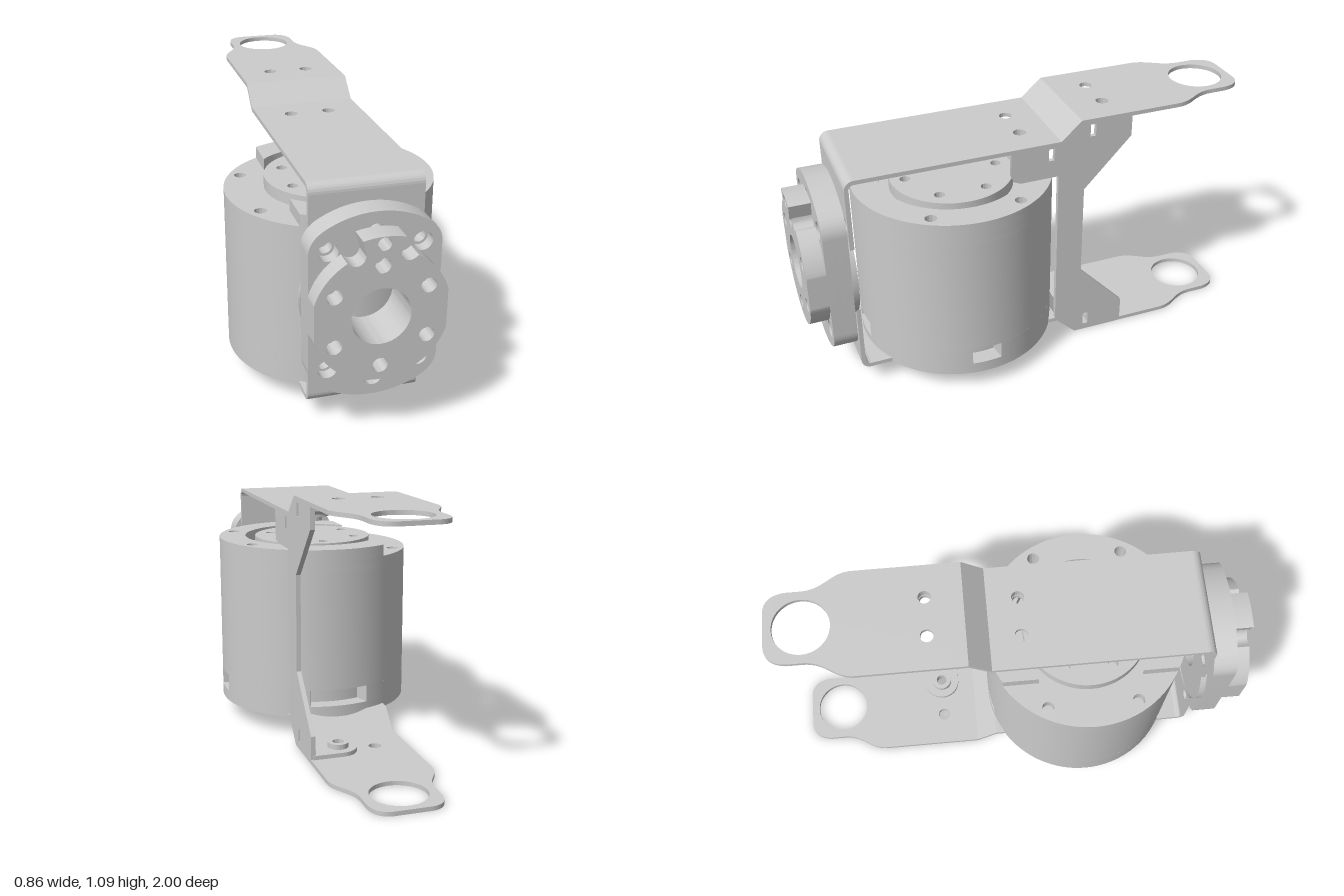
import * as THREE from 'three';
import { toCreasedNormals } from 'three/addons/utils/BufferGeometryUtils.js';

const material = new THREE.MeshStandardMaterial({ color: 0xcccccc, side: THREE.DoubleSide });

function hole(shape, x, y, r) {
  shape.holes.push(new THREE.Path().absarc(x, y, r, 0, Math.PI * 2, true));
}
function circle(r, holes = []) {
  const s = new THREE.Shape().absarc(0, 0, r, 0, Math.PI * 2);
  holes.forEach(h => hole(s, ...h));
  return s;
}
function polygon(pts) {
  return new THREE.Shape(pts.map(p => new THREE.Vector2(...p)));
}
// Ring sector; the outer and inner arcs may span different angles
function sector(r0, r1, a0, a1, b0 = a0, b1 = a1) {
  const s = new THREE.Shape();
  s.absarc(0, 0, r1, a0, a1, false);
  s.absarc(0, 0, r0, b1, b0, true);
  s.closePath();
  return s;
}
function extrude(shape, depth) {
  return new THREE.ExtrudeGeometry(shape, { depth, bevelEnabled: false, curveSegments: 40 });
}
function add(group, name, geometry) {
  const m = new THREE.Mesh(toCreasedNormals(geometry, 0.5), material);
  m.name = name;
  group.add(m);
  return m;
}
// Horizontal slab: shape is (x, -z), from y0 to y1
function slab(group, name, shape, y0, y1) {
  return add(group, name, extrude(shape, y1 - y0).rotateX(-Math.PI / 2).translate(0, y0, 0));
}
// Side profile: shape is (-z, y), from x0 to x1
function side(group, name, shape, x0, x1) {
  return add(group, name, extrude(shape, x1 - x0).rotateY(Math.PI / 2).translate(x0, 0, 0));
}
// Facing slab: shape is (x, y), from z0 to z1
function facing(group, name, shape, z0, z1) {
  return add(group, name, extrude(shape, z1 - z0).translate(0, 0, z0));
}

const W = 0.225, T = 0.018, PI = Math.PI;

function buildMotor() {
  const g = new THREE.Group();
  g.name = 'motor';
  g.position.z = 0.3;
  const R = 0.43;
  const rimHoles = [[0.33, 0.19, 0.025], [0.33, -0.19, 0.025], [-0.33, 0.19, 0.025], [-0.33, -0.19, 0.025]];
  const baseHoles = [0, 1, 2, 3].map(i => {
    const a = PI / 4 + 0.08 + i * PI / 2;
    return [0.285 * Math.cos(a), 0.285 * Math.sin(a), 0.024];
  });
  slab(g, 'motorBase', circle(R, baseHoles), 0.085, 0.135);
  // Wall layer broken by three cable ports
  slab(g, 'motorCore', circle(0.36), 0.135, 0.21);
  [[0.15, PI / 2 - 0.31], [PI / 2 + 0.31, 1.5 * PI - 0.2], [1.5 * PI + 0.2, 2 * PI - 0.15]]
    .forEach(([a, b]) => slab(g, 'portWall', sector(0.34, R, a, b), 0.135, 0.21));
  slab(g, 'motorBody', circle(R), 0.21, 0.74);
  slab(g, 'motorTop', circle(R, rimHoles), 0.74, 0.79);
  // Raised rim around the +x side
  const a = Math.acos(-0.22 / R), b = Math.acos(-0.22 / 0.31);
  const rim = sector(0.31, R, -a, a, -b, b);
  rimHoles.slice(0, 2).forEach(h => hole(rim, ...h));
  slab(g, 'raisedRim', rim, 0.79, 0.84);
  const discHoles = [0, 1, 2, 3, 4, 5].map(i => [0.2 * Math.cos(i * PI / 3 + 0.5), 0.2 * Math.sin(i * PI / 3 + 0.5), 0.022]);
  slab(g, 'rotorDisc', circle(0.265, discHoles), 0.79, 0.84);
  return g;
}

// Arm outline with a narrowed, rounded eye at its end
function armShape() {
  const s = new THREE.Shape();
  s.moveTo(-W, 0.2);
  s.lineTo(W, 0.2);
  s.lineTo(W, 0.64);
  s.bezierCurveTo(W, 0.73, 0.153, 0.75, 0.153, 0.85);
  s.lineTo(0.153, 0.91);
  s.quadraticCurveTo(0.145, 1, 0.07, 1);
  s.lineTo(-0.07, 1);
  s.quadraticCurveTo(-0.145, 1, -0.153, 0.91);
  s.lineTo(-0.153, 0.85);
  s.bezierCurveTo(-0.153, 0.75, -W, 0.73, -W, 0.64);
  s.closePath();
  hole(s, 0, 0.85, 0.117);
  [-1, 1].forEach(k => hole(s, k * 0.083, 0.355, 0.027));
  return s;
}

function rect(x0, y0, x1, y1) {
  return polygon([[x0, y0], [x1, y0], [x1, y1], [x0, y1]]);
}

// Folded foot with a threaded boss
function foot(group, s, y, dir) {
  const tab = new THREE.Shape();
  tab.moveTo(0.215, s - 0.08);
  tab.lineTo(0.083, s - 0.08);
  tab.absarc(0.083, s, 0.08, -PI / 2, PI / 2, true);
  tab.lineTo(0.215, s + 0.08);
  tab.closePath();
  hole(tab, 0.083, s, 0.027);
  slab(group, 'footTab', tab, Math.min(y, y + dir * T), Math.max(y, y + dir * T));
  const boss = slab(group, 'footBoss', circle(0.045, [[0, 0, 0.024]]), 0, 0.022);
  boss.position.set(0.083, dir > 0 ? y + T : y - T - 0.022, -s);
}

function buildBracket() {
  const g = new THREE.Group();
  g.name = 'bracket';
  // Top plate, bend and upper arm
  const top = rect(-W, -0.76, W, 0.11);
  [-1, 1].forEach(k => hole(top, k * 0.083, -0.02, 0.027));
  slab(g, 'topPlate', top, 1.01 - T, 1.01);
  side(g, 'topBend', polygon([[0.11, 1.01 - T], [0.2, 1.09 - T], [0.2, 1.09], [0.11, 1.01]]), -W, W);
  slab(g, 'upperArm', armShape(), 1.09 - T, 1.09);
  // Lower flanges, bend and lower arm
  slab(g, 'frontLip', rect(-W, -0.76, W, -0.6), 0.085, 0.085 + T);
  slab(g, 'rearLip', rect(-W, 0.03, W, 0.11), 0.085, 0.085 + T);
  side(g, 'lowerBend', polygon([[0.11, 0.085], [0.2, 0], [0.2, T], [0.11, 0.085 + T]]), -W, W);
  slab(g, 'lowerArm', armShape(), 0, T);
  // Rounded front corners
  [[0.97, PI / 2], [0.125, PI]].forEach(([y, a]) => {
    side(g, 'frontCorner', sector(0.04 - T, 0.04, a, a + PI / 2), -W, W).position.set(0, y, 0.76);
  });
  // Front plates, cut back around the output shaft
  const c = 0.547, r = 0.27, t = Math.acos(W / r);
  [1, -1].forEach(k => {
    const s = new THREE.Shape();
    s.absarc(0, 0, r, k * t, k * (PI - t), k < 0);
    const end = k > 0 ? 0.97 - c : 0.125 - c;
    s.lineTo(-W, end);
    s.lineTo(W, end);
    s.closePath();
    [-0.18, 0, 0.18].forEach(x => hole(s, x, k * (x ? 0.245 : 0.306), 0.028));
    facing(g, 'frontPlate', s, 0.8 - T, 0.8).position.y = c;
  });
  // Side web joining both arms, with relief slots
  const web = polygon([[0.11, 0.09], [0.2, 0.01], [0.43, 0.01], [0.43, 0.12], [0.22, 0.34],
    [0.22, 0.76], [0.43, 0.98], [0.43, 1.08], [0.2, 1.08], [0.11, 1.0], [-0.11, 1.0],
    [-0.11, 0.89], [-0.098, 0.862], [-0.07, 0.85], [0.1, 0.85], [0.1, 0.1]]);
  [[0.24, 0.03, 0.09], [0.24, 1.01, 1.065], [0.055, 0.93, 0.985]].forEach(([s, y0, y1]) => {
    web.holes.push(new THREE.Path(rect(s, y0, s + 0.025, y1).getPoints().reverse()));
  });
  side(g, 'sideWeb', web, W - 0.02, W);
  foot(g, 0.355, T, 1);
  foot(g, 0.355, 1.09 - T, -1);
  foot(g, -0.02, 1.01 - T, -1);
  return g;
}

function buildHorn() {
  const g = new THREE.Group();
  g.name = 'outputHorn';
  g.position.y = 0.547;
  const R = 0.383, H = 0.255, bore = [0, 0, 0.115];
  const a = Math.acos(0.2 / R);
  // Mounting plate: a disc trimmed on both sides, holes counterbored
  const plate = holeRadius => {
    const s = new THREE.Shape();
    s.absarc(0, 0, R, a, PI - a, false);
    s.quadraticCurveTo(-H, 0.29, -H, 0.235);
    s.lineTo(-H, -0.235);
    s.quadraticCurveTo(-H, -0.29, -0.2, -R * Math.sin(a));
    s.absarc(0, 0, R, PI + a, 2 * PI - a, false);
    s.quadraticCurveTo(H, -0.29, H, -0.235);
    s.lineTo(H, 0.235);
    s.quadraticCurveTo(H, 0.29, 0.2, R * Math.sin(a));
    hole(s, ...bore);
    [-1, 1].forEach(x => [-1, 1].forEach(y => hole(s, x * 0.18, y * 0.245, holeRadius)));
    hole(s, 0, -0.304, holeRadius);
    hole(s, 0, 0.308, 0.028);
    return s;
  };
  facing(g, 'mountBack', plate(0.028), 0.81, 0.86);
  facing(g, 'mountFront', plate(0.038), 0.86, 0.91);
  facing(g, 'shaftCollar', circle(0.26, [bore]), 0.785, 0.81);
  // Output disc with two scallops beside the key
  const pts = [];
  for (let i = 0; i < 240; i++) {
    const t = i * PI / 120, dx = Math.cos(t), dy = Math.sin(t);
    let r = 0.267;
    [-0.1, 0.1].forEach(cx => {
      const d = cx * dx + 0.25 * dy, q = 0.035 ** 2 - cx * cx - 0.0625 + d * d;
      if (d > 0 && q > 0) r = Math.min(r, d - Math.sqrt(q));
    });
    pts.push([Math.max(-H, Math.min(H, r * dx)), r * dy]);
  }
  const disc = polygon(pts);
  hole(disc, ...bore);
  for (let i = 0; i < 6; i++) {
    const t = PI / 2 + i * PI / 3;
    hole(disc, 0.206 * Math.cos(t), 0.206 * Math.sin(t), 0.03);
  }
  facing(g, 'outputDisc', disc, 0.91, 0.99);
  // Index key above the disc
  const key = sector(0.255, 0.325, PI / 2 - 0.25, PI / 2 + 0.25);
  hole(key, 0, 0.308 - 0.012, 0.026);
  facing(g, 'indexKey', key, 0.91, 1.0);
  return g;
}

export function createModel() {
  const model = new THREE.Group();
  model.name = 'servoJoint';
  model.add(buildMotor(), buildBracket(), buildHorn());
  return model;
}
